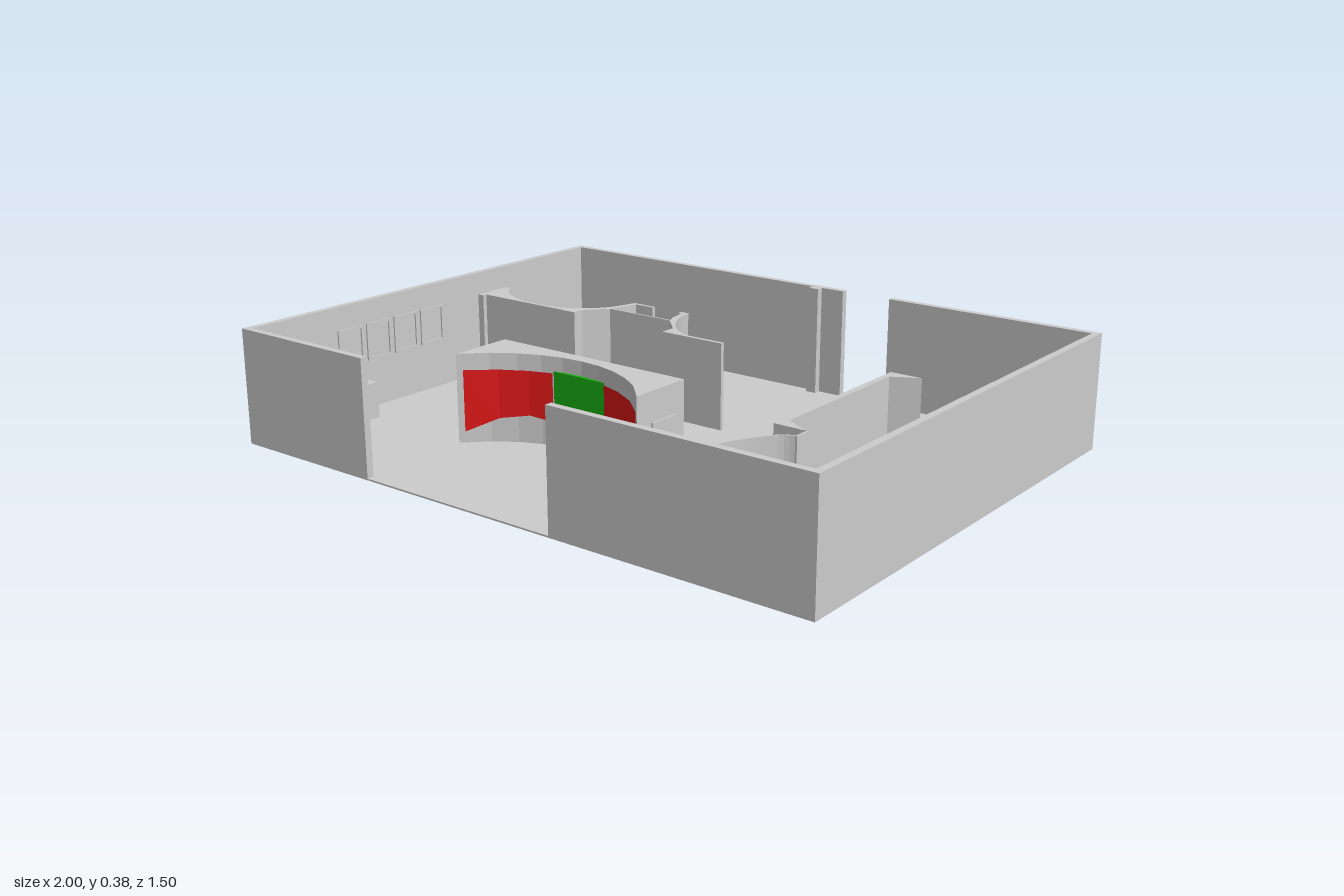
import * as THREE from 'three';

const grey = new THREE.MeshStandardMaterial({ color: 0xcccccc, flatShading: true });
const red = new THREE.MeshStandardMaterial({ color: 0xe01818, flatShading: true, side: THREE.DoubleSide });
const green = new THREE.MeshStandardMaterial({ color: 0x18b010 });
const cream = new THREE.MeshStandardMaterial({ color: 0xe8e4b8 });

const FLOOR = 0.025, WALL_TOP = 0.375, LOW_TOP = 0.3;

export function createModel() {
  const root = new THREE.Group();
  root.name = 'exhibitionHall';

  function add(name, geometry, material = grey, parent = root) {
    const mesh = new THREE.Mesh(geometry, material);
    mesh.name = name;
    parent.add(mesh);
    return mesh;
  }
  // Box given by its limits on each axis
  function block(name, x0, x1, y0, y1, z0, z1, material, parent) {
    const g = new THREE.BoxGeometry(x1 - x0, y1 - y0, z1 - z0);
    g.translate((x0 + x1) / 2, (y0 + y1) / 2, (z0 + z1) / 2);
    return add(name, g, material, parent);
  }
  // Upright prism over a plan outline of [x, z] points
  function prism(name, plan, y0, y1, parent) {
    const shape = new THREE.Shape(plan.map(([x, z]) => new THREE.Vector2(x, -z)));
    const g = new THREE.ExtrudeGeometry(shape, { depth: y1 - y0, bevelEnabled: false });
    g.rotateX(-Math.PI / 2);
    g.translate(0, y0, 0);
    return add(name, g, grey, parent);
  }
  // Smooth plan curve through [x, z] points
  function smooth(points, n) {
    const curve = new THREE.SplineCurve(points.map(p => new THREE.Vector2(...p)));
    return curve.getPoints(n).map(p => [p.x, p.y]);
  }

  // Floor slab and outer walls with an opening in front and back
  block('floor', -1, 1, 0.02, FLOOR, -0.75, 0.75);
  const t = 0.022;
  for (const s of [-1, 1]) {
    block('sideWall', Math.min(s, s * (1 - t)), Math.max(s, s * (1 - t)), 0.02, WALL_TOP, -0.75, 0.75);
  }
  for (const [name, x0, x1, z0] of [
    ['frontWall', -1 + t, -0.485, 0.75 - t], ['frontWall', 0.195, 1 - t, 0.75 - t],
    ['backWall', -1 + t, 0.135, -0.75], ['backWall', 0.305, 1 - t, -0.75],
  ]) block(name, x0, x1, 0.02, WALL_TOP, z0, z0 + t);
  block('pilaster', 0.02, 0.055, FLOOR, WALL_TOP, -0.73, -0.705);

  // Row of four shallow frames on the right wall
  for (let i = 0; i < 4; i++) {
    const z = -0.03 + i * 0.115;
    for (const y of [0.18, 0.292]) block('wallFrame', -0.979, -0.973, y, y + 0.008, z, z + 0.1);
    for (const dz of [0, 0.092]) block('wallFrame', -0.979, -0.973, 0.18, 0.3, z + dz, z + dz + 0.008);
  }
  // Low cabinets along the right wall
  block('cabinet', -0.98, -0.88, FLOOR, 0.14, 0.35, 0.48);
  block('cabinet', -0.98, -0.88, FLOOR, 0.14, 0.545, 0.728);

  // Rear partition: curved-back block, flanged niche walls and a straight wing
  const bay = smooth([[-0.95, -0.325], [-0.9, -0.272], [-0.82, -0.235], [-0.73, -0.225],
    [-0.64, -0.237], [-0.56, -0.283], [-0.51, -0.35], [-0.485, -0.432]], 28);
  prism('curvedPartition', [
    [-0.978, -0.2], [-0.955, -0.2], [-0.955, -0.215], [-0.56, -0.215], [-0.56, -0.252],
    [-0.5, -0.32], [-0.482, -0.36], [-0.47, -0.42], [-0.4, -0.42], [-0.4, -0.432],
    ...bay.reverse(), [-0.978, -0.338],
  ], FLOOR, LOW_TOP);
  const wing = smooth([[-0.262, -0.432], [-0.245, -0.36], [-0.2, -0.285], [-0.15, -0.238], [-0.1, -0.213]], 16);
  prism('wingPartition', [
    ...wing, [0.04, -0.213], [0.04, -0.2], [-0.185, -0.2], [-0.185, -0.252],
    [-0.25, -0.32], [-0.268, -0.36], [-0.28, -0.42], [-0.293, -0.42], [-0.293, -0.432],
  ], FLOOR, LOW_TOP);
  block('nichePanel', -0.5, -0.25, FLOOR, LOW_TOP, -0.328, -0.322);

  // Left partition with splayed ends
  prism('splayedPartition', [
    [0.595, -0.25], [0.695, -0.25], [0.615, -0.208], [0.615, 0.29], [0.695, 0.333], [0.595, 0.333],
  ], FLOOR, LOW_TOP);
  // Thin curved screen: one line offset to both faces
  const screen = smooth([[0.7, 0.382], [0.665, 0.4], [0.625, 0.452], [0.597, 0.505], [0.58, 0.555]], 14);
  prism('curvedScreen', [...screen, ...screen.map(([x, z]) => [x - 0.005, z - 0.003]).reverse()], FLOOR, LOW_TOP);
  block('screenReturn', 0.695, 0.701, FLOOR, LOW_TOP, 0.333, 0.384);

  // Central display stand with a concave front
  const stand = new THREE.Group();
  stand.name = 'displayStand';
  root.add(stand);
  const cx = -0.163, half = 0.342, R = 0.433;
  const arcZ = x => 0.638 - Math.sqrt(R * R - (x - cx) ** 2);
  const front = [];
  for (let i = 0; i <= 10; i++) {
    const x = cx - half + (2 * half * i) / 10;
    front.push([x, arcZ(x)]);
  }
  const plan = [...front, [cx + half, 0.165], [cx - half, 0.165]];
  prism('standBase', plan, 0, 0.024, stand);
  prism('standBody', plan, 0.024, LOW_TOP, stand);

  // Red panels follow the curve; their lower edge is arched
  for (const s of [-1, 1]) {
    const pos = [], index = [];
    [[0.098, 0.1], [0.17, 0.112], [0.25, 0.1], [0.327, 0.06]].forEach(([d, low], i) => {
      const x = cx + s * d, z = arcZ(x) + 0.006;
      pos.push(x, low, z, x, 0.25, z);
      const a = 2 * i;
      if (i < 3) index.push(...(s > 0 ? [a, a + 2, a + 3, a, a + 3, a + 1] : [a, a + 3, a + 2, a, a + 1, a + 3]));
    });
    const g = new THREE.BufferGeometry();
    g.setAttribute('position', new THREE.Float32BufferAttribute(pos, 3));
    g.setIndex(index);
    g.computeVertexNormals();
    add('redPanel', g, red, stand);
  }
  block('greenBoard', -0.26, -0.068, 0.05, 0.255, 0.204, 0.218, green, stand);

  // Doors and trim on the rear, small panels on the left end
  for (const [x0, x1] of [[-0.06, 0.13], [-0.46, -0.16]]) {
    block('rearDoor', x0, x1, 0.03, 0.23, 0.161, 0.166, grey, stand);
  }
  block('rearNotice', -0.135, -0.085, 0.2, 0.215, 0.161, 0.166, grey, stand);
  for (const [y0, y1] of [[0.04, 0.11], [0.13, 0.21]]) {
    block('endPanel', 0.178, 0.185, y0, y1, 0.2, 0.31, grey, stand);
  }

  // Slim post in front of the stand
  block('post', 0.02, 0.043, FLOOR, 0.165, 0.318, 0.341, cream);

  return root;
}
